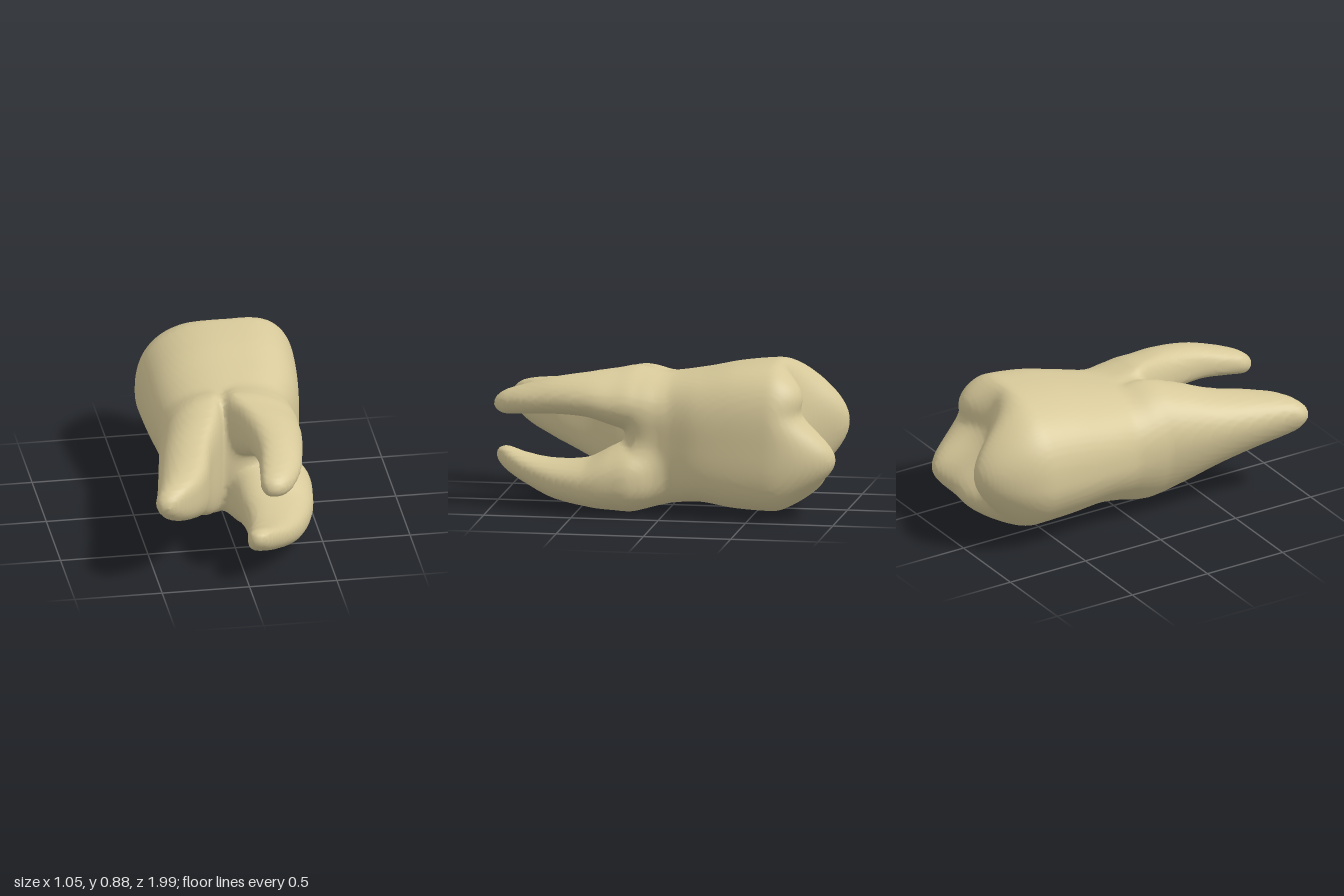
import * as THREE from 'three';

// Each part is a row of sections [z, x0, x1, y0, y1, px, py] along z: a box and the point where its four quarters meet.
// corners: squareness of the lower left, lower right, upper left and upper right quarter.
// start / end: length of the rounded ends.
const crown = {
  corners: [1.9, 3.3, 2.5, 2.9], start: 0, end: 0.1,
  rows: [
    [-0.62, -0.39, 0.525, 0.025, 0.87, 0.16, 0.43],
    [-0.4, -0.385, 0.508, 0.035, 0.845, 0.15, 0.43],
    [-0.2, -0.375, 0.475, 0.06, 0.8, 0.12, 0.43],
    [0, -0.355, 0.405, 0.04, 0.765, 0.08, 0.43],
    [0.12, -0.34, 0.39, 0.05, 0.75, 0.06, 0.43],
    [0.25, -0.28, 0.35, 0.09, 0.7, 0.03, 0.43],
  ],
};
const rightRoot = {
  corners: [1.75, 3, 2, 3], start: 0.12, end: 0.09,
  rows: [
    [-0.1, -0.31, -0.04, 0.2, 0.64, -0.1, 0.48],
    [0.12, -0.37, -0.005, 0.065, 0.775, -0.08, 0.48],
    [0.3, -0.405, -0.045, 0.115, 0.75, -0.13, 0.49],
    [0.5, -0.44, -0.13, 0.215, 0.69, -0.21, 0.5],
    [0.7, -0.475, -0.185, 0.3, 0.655, -0.29, 0.51],
    [0.85, -0.505, -0.26, 0.365, 0.63, -0.37, 0.52],
    [1.0, -0.54, -0.385, 0.44, 0.59, -0.46, 0.52],
  ],
};
const upperLeftRoot = {
  corners: [2.3, 2.2, 2.5, 2], start: 0.12, end: 0.09,
  rows: [
    [-0.1, 0.06, 0.34, 0.45, 0.7, 0.15, 0.58],
    [0.15, -0.03, 0.4, 0.42, 0.798, 0.06, 0.6],
    [0.3, 0.03, 0.4, 0.47, 0.792, 0.11, 0.61],
    [0.45, 0.08, 0.39, 0.525, 0.775, 0.18, 0.63],
    [0.65, 0.105, 0.36, 0.54, 0.745, 0.21, 0.63],
    [0.82, 0.09, 0.32, 0.53, 0.695, 0.19, 0.61],
    [1.0, 0.07, 0.235, 0.515, 0.64, 0.15, 0.58],
  ],
};
const lowerLeftRoot = {
  corners: [2.6, 2.5, 2.5, 2.3], start: 0.12, end: 0.09,
  rows: [
    [-0.1, 0.08, 0.34, 0.1, 0.38, 0.2, 0.24],
    [0.15, -0.01, 0.47, 0.0, 0.42, 0.15, 0.2],
    [0.3, 0.03, 0.477, 0.003, 0.365, 0.2, 0.18],
    [0.45, 0.055, 0.445, 0.02, 0.29, 0.21, 0.16],
    [0.65, 0.05, 0.365, 0.055, 0.272, 0.17, 0.17],
    [0.82, 0.02, 0.26, 0.125, 0.29, 0.12, 0.21],
    [1.0, -0.005, 0.13, 0.205, 0.335, 0.06, 0.27],
  ],
};
const roots = [rightRoot, upperLeftRoot, lowerLeftRoot];

// Cusps of the chewing surface: [x, y, height, spread left, spread right, spread y] above its floor
const FLOOR = 0.71;
const cusps = [
  [-0.12, 0.49, 0.29, 0.25, 0.125, 0.24],
  [0.35, 0.34, 0.285, 0.13, 0.18, 0.16],
  [0.17, 0.22, 0.2, 0.18, 0.18, 0.14],
  [0.37, 0.71, 0.11, 0.13, 0.15, 0.12],
];
function cuspHeight(x, y) {
  let sum = 0;
  for (const [cx, cy, h, left, right, sy] of cusps) {
    const dx = (x - cx) / (x < cx ? left : right), dy = (y - cy) / sy;
    sum += Math.pow(h * Math.exp(-(dx * dx + dy * dy) / 2), 4);
  }
  return FLOOR + Math.pow(sum, 0.25);
}

// Section of a part at height z, smoothly interpolated
function sectionAt(rows, z) {
  const last = rows.length - 1;
  if (z <= rows[0][0]) return rows[0].slice(1);
  if (z >= rows[last][0]) return rows[last].slice(1);
  const i = rows.findIndex(row => row[0] > z) - 1;
  const f = (z - rows[i][0]) / (rows[i + 1][0] - rows[i][0]);
  return [1, 2, 3, 4, 5, 6].map(k => {
    const b = rows[i][k], c = rows[i + 1][k];
    const a = rows[Math.max(i - 1, 0)][k], d = rows[Math.min(i + 2, last)][k];
    return b + 0.5 * f * (c - a + f * (2 * a - 5 * b + 4 * c - d + f * (3 * (b - c) + d - a)));
  });
}

// Approximate signed distance to a part, as a function of x and y in the slice at z
function slice({ rows, corners, start, end }, z) {
  const [x0, x1, y0, y1, px, py] = sectionAt(rows, z);
  const radius = Math.min(x1 - x0, y1 - y0) / 2;
  const zStart = rows[0][0] + start, zEnd = rows[rows.length - 1][0] - end;
  const over = z > zEnd ? (z - zEnd) / end : start && z < zStart ? (zStart - z) / start : 0;
  return (x, y) => {
    const u = x < px ? (px - x) / (px - x0) : (x - px) / (x1 - px);
    const v = y < py ? (py - y) / (py - y0) : (y - py) / (y1 - py);
    const n = corners[(x < px ? 0 : 1) + (y < py ? 0 : 2)];
    const q = Math.pow(Math.pow(u, n) + Math.pow(v, n), 1 / n);
    if (!start && z < rows[0][0]) {
      // Crown end: domed over the cusps
      const lift = (rows[0][0] - z) / (cuspHeight(x, y) + rows[0][0]);
      return (Math.sqrt(lift * lift + Math.pow(q, 5)) - 1) * 0.3;
    }
    return (Math.hypot(q, over) - 1) * radius;
  };
}

function smoothMin(a, b, k) {
  const t = Math.max(k - Math.abs(a - b), 0) / k;
  return Math.min(a, b) - t * t * k / 4;
}

// Surface of the smoothly joined parts, meshed on a regular grid
function toothGeometry() {
  const step = 0.02, low = [-0.6, -0.06, -1.06], size = [61, 51, 107];
  const stride = [1, size[0], size[0] * size[1]];
  const field = new Float32Array(size[0] * size[1] * size[2]);
  for (let k = 0, p = 0; k < size[2]; k++) {
    const z = low[2] + k * step;
    const crownField = slice(crown, z), rootFields = roots.map(root => slice(root, z));
    for (let j = 0; j < size[1]; j++) {
      for (let i = 0; i < size[0]; i++, p++) {
        const x = low[0] + i * step, y = low[1] + j * step;
        field[p] = rootFields.reduce((d, f) => smoothMin(d, f(x, y), 0.06), crownField(x, y));
      }
    }
  }

  // One vertex per crossed cell, at the mean of its edge crossings
  const vertexOf = new Map(), position = [], index = [];
  const eachCell = visit => {
    for (let k = 1; k < size[2] - 1; k++)
      for (let j = 1; j < size[1] - 1; j++)
        for (let i = 1; i < size[0] - 1; i++) visit([i, j, k], i + j * stride[1] + k * stride[2]);
  };
  eachCell((cell, p) => {
    const sum = [0, 0, 0];
    let count = 0;
    for (let axis = 0; axis < 3; axis++) {
      const b = (axis + 1) % 3, c = (axis + 2) % 3;
      for (let corner = 0; corner < 4; corner++) {
        const ob = corner & 1, oc = corner >> 1;
        const from = p + ob * stride[b] + oc * stride[c];
        const f0 = field[from], f1 = field[from + stride[axis]];
        if (f0 < 0 === f1 < 0) continue;
        sum[axis] += f0 / (f0 - f1);
        sum[b] += ob;
        sum[c] += oc;
        count++;
      }
    }
    if (!count) return;
    vertexOf.set(p, position.length / 3);
    position.push(...sum.map((s, a) => low[a] + (cell[a] + s / count) * step));
  });

  // One quad around every crossed grid edge
  eachCell((cell, p) => {
    for (let axis = 0; axis < 3; axis++) {
      const inside = field[p] < 0;
      if (inside === field[p + stride[axis]] < 0) continue;
      const b = stride[(axis + 1) % 3], c = stride[(axis + 2) % 3];
      const quad = [p - b - c, p - c, p, p - b].map(q => vertexOf.get(q));
      if (!inside) quad.reverse();
      index.push(quad[0], quad[1], quad[2], quad[0], quad[2], quad[3]);
    }
  });

  const geo = new THREE.BufferGeometry();
  geo.setAttribute('position', new THREE.Float32BufferAttribute(position, 3));
  geo.setIndex(index);
  geo.computeVertexNormals();
  return geo;
}

export function createModel() {
  const ivory = new THREE.MeshStandardMaterial({ color: 0xd6c899 });
  ivory.name = 'ivory';
  const tooth = new THREE.Mesh(toothGeometry(), ivory);
  tooth.name = 'crownAndRoots';
  const group = new THREE.Group();
  group.name = 'molarTooth';
  group.add(tooth);
  return group;
}
